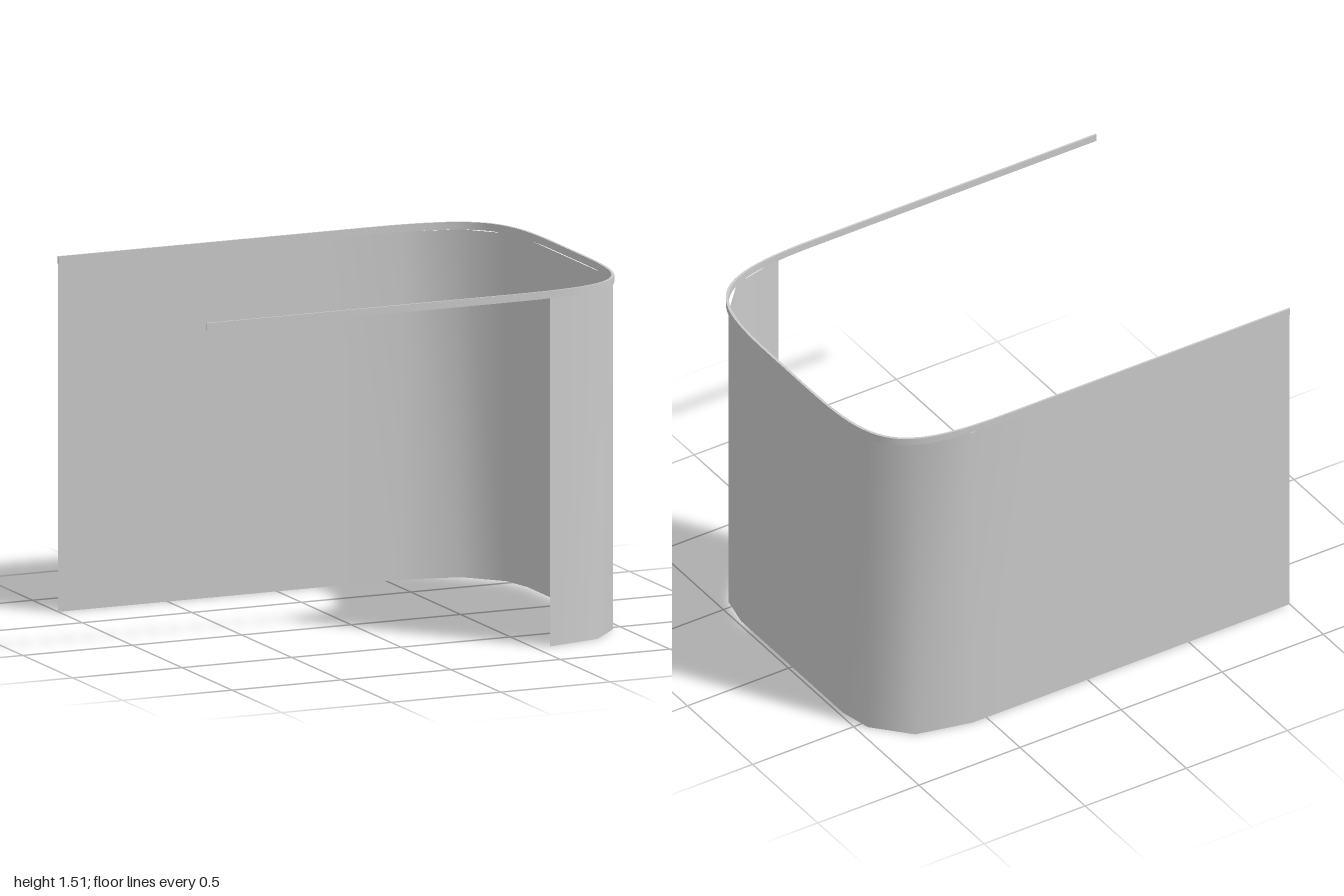
import * as THREE from 'three';
import { toCreasedNormals } from 'three/addons/utils/BufferGeometryUtils.js';

const TOP = 1.51, RAIL_BOTTOM = 1.478;

// U-shaped rail line, traced from one free end round to the other
function railLine(half, end) {
  const corner = new THREE.CubicBezierCurve(
    new THREE.Vector2(0.4, half), new THREE.Vector2(end - 0.06, half),
    new THREE.Vector2(end, half - 0.122), new THREE.Vector2(end, 0.15)
  ).getPoints(24);
  const mirrored = corner.map(p => new THREE.Vector2(p.x, -p.y)).reverse();
  return [new THREE.Vector2(-1, half), ...corner, ...mirrored, new THREE.Vector2(-1, -half)];
}

// Slim rail of rectangular section
function makeRail(material) {
  const outline = [...railLine(0.747, 1), ...railLine(0.739, 0.989).reverse()];
  let geometry = new THREE.ExtrudeGeometry(new THREE.Shape(outline), {
    depth: TOP - RAIL_BOTTOM, bevelEnabled: false
  });
  geometry.rotateX(-Math.PI / 2);
  geometry.translate(0, RAIL_BOTTOM, 0);
  geometry = toCreasedNormals(geometry, 0.6);
  const rail = new THREE.Mesh(geometry, material);
  rail.name = 'curtainRail';
  return rail;
}

// Thin curtain hanging below the rail, open along most of the front
function makeCurtain(material) {
  const bend = [[0.57, 0.743], [0.815, 0.685], [0.952, 0.535], [0.983, 0.39]];
  const path = [
    ...bend,
    ...bend.map(([x, z]) => [x, -z]).reverse(),
    [0.2, -0.743], [-1, -0.743]
  ];
  const geometry = new THREE.PlaneGeometry(1, 1, path.length - 1, 1);
  const position = geometry.attributes.position;
  for (let i = 0; i < position.count; i++) {
    const [x, z] = path[i % path.length];
    position.setXYZ(i, x, position.getY(i) > 0 ? RAIL_BOTTOM : 0, z);
  }
  geometry.computeVertexNormals();
  const curtain = new THREE.Mesh(geometry, material);
  curtain.name = 'curtain';
  return curtain;
}

export function createModel() {
  const material = new THREE.MeshStandardMaterial({ color: 0xcccccc, side: THREE.DoubleSide });
  const group = new THREE.Group();
  group.name = 'curtainOnRail';
  group.add(makeRail(material), makeCurtain(material));
  return group;
}
